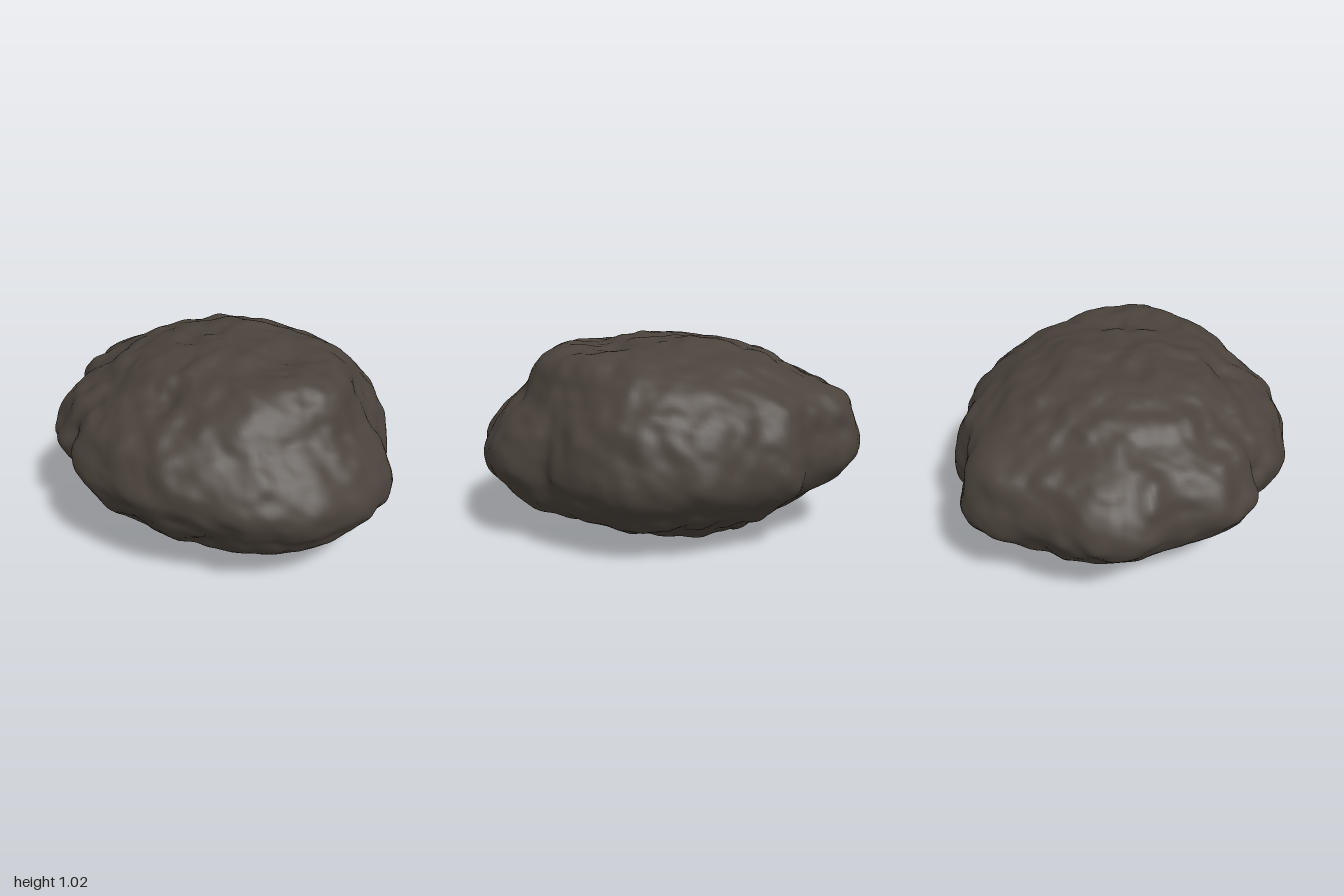
import * as THREE from 'three';
import { mergeVertices } from 'three/addons/utils/BufferGeometryUtils.js';

// Widest outline seen from above, as [x, z]
const OUTLINE = [
  [.99, .05], [.96, .25], [.9, .45], [.77, .6], [.6, .71], [.4, .8], [.1, .88], [-.12, .89],
  [-.3, .84], [-.4, .75], [-.46, .69], [-.55, .7], [-.75, .55], [-.82, .3], [-.92, .2], [-.99, 0],
  [-.95, -.2], [-.88, -.37], [-.83, -.6], [-.7, -.74], [-.5, -.78], [-.4, -.8], [-.27, -.89], [-.1, -.87],
  [.1, -.89], [.2, -.88], [.35, -.82], [.5, -.75], [.6, -.67], [.75, -.5], [.81, -.3], [.9, -.22], [.97, -.1],
];

// Bottom-to-top profiles towards each side, as [share of outline radius, y]
const PROFILES = {
  left: [[0, .01], [.2, .04], [.3, .03], [.5, .08], [.7, .12], [.85, .18], [.95, .3], [1, .4],
    [.96, .54], [.9, .63], [.8, .74], [.75, .86], [.65, .94], [.52, .97], [.37, .96], [.2, 1.01], [0, 1]],
  right: [[0, .01], [.2, .02], [.4, .03], [.6, .12], [.73, .2], [.85, .28], [.97, .42], [1, .5],
    [.97, .6], [.9, .71], [.8, .77], [.7, .82], [.57, .9], [.4, .95], [.22, .98], [0, 1]],
  front: [[0, .01], [.33, .03], [.5, .08], [.67, .17], [.78, .2], [.89, .3], [.96, .4], [1, .5],
    [.95, .6], [.89, .7], [.78, .77], [.67, .83], [.5, .93], [.33, .98], [.11, 1.01], [0, 1]],
  back: [[0, .01], [.22, .01], [.45, .02], [.57, .04], [.67, .1], [.84, .2], [.95, .3], [1, .4],
    [.97, .55], [.92, .7], [.8, .8], [.62, .9], [.45, .96], [.28, 1.01], [.11, 1.01], [0, 1]],
};

// Soft hollows (positive depth) and swellings (negative): x, y, z, radius, depth
const HOLLOWS = [
  [.68, .8, .3, .18, .035], [.05, .88, .52, .09, .035], [.02, .25, .78, .1, .03],
  [.45, .27, .7, .1, .03], [.75, .35, .55, .1, .02], [-.8, .55, -.3, .08, .025],
  [-.75, .6, -.55, .07, .02], [-.55, .9, .05, .1, .012], [-.15, .6, .88, .1, .012],
  [.2, .7, .75, .2, -.02], [-.45, .55, .72, .2, -.015], [-.1, .3, .86, .06, -.02],
  [.4, .3, .78, .06, -.02], [-.7, .65, -.6, .22, -.03], [-.65, .25, -.6, .18, .018],
];

// Smooth lattice noise in -1..1
function hash(x, y, z) {
  let h = Math.imul(x, 374761393) ^ Math.imul(y, 668265263) ^ Math.imul(z, 2147483589);
  h = Math.imul(h ^ (h >>> 13), 1274126177);
  h = Math.imul(h ^ (h >>> 15), 2246822519);
  return ((h ^ (h >>> 16)) >>> 0) / 2147483648 - 1;
}
function noise(x, y, z) {
  const [i, j, k] = [x, y, z].map(Math.floor);
  const [u, v, w] = [x - i, y - j, z - k].map((t) => t * t * (3 - 2 * t));
  const L = THREE.MathUtils.lerp;
  const row = (b, c) => L(hash(i, b, c), hash(i + 1, b, c), u);
  return L(L(row(j, k), row(j + 1, k), v), L(row(j, k + 1), row(j + 1, k + 1), v), w);
}

const smooth = (points, closed) => new THREE.CatmullRomCurve3(
  points.map(([a, b]) => new THREE.Vector3(a, b, 0)), closed, 'centripetal');

// Push a surface point in or out with lumps and hollows
function weather(p) {
  const out = new THREE.Vector3(p.x, (p.y - .48) * 2.5, p.z).normalize();
  let d = 0;
  for (const [freq, amp] of [[7, .013], [12, .012], [22, .003]]) {
    d += amp * noise(p.x * freq + 7.3, p.y * freq + 2.1, p.z * freq + 4.7);
  }
  for (const [x, y, z, r, depth] of HOLLOWS) {
    const q = (p.x - x) ** 2 + (p.y - y) ** 2 + (p.z - z) ** 2;
    d -= depth * Math.exp(-q / (r * r));
  }
  return p.addScaledVector(out, d);
}

function rockGeometry(around = 220, up = 120) {
  const ring = smooth(OUTLINE, true).getSpacedPoints(around).slice(0, around);
  const sides = {};
  for (const k in PROFILES) sides[k] = smooth(PROFILES[k], false).getSpacedPoints(up);

  // Rounded outline radius, so notches in the rim fade out above and below it
  const radius = ring.map((o) => o.length());
  const span = 14;
  const rounded = ring.map((_, i) => {
    let sum = 0;
    for (let k = -span; k <= span; k++) sum += radius[(i + k + around) % around];
    return sum / (2 * span + 1);
  });

  const positions = [], index = [];
  for (let i = 0; i <= around; i++) {
    const n = i % around, o = ring[n];
    const a = Math.atan2(o.y, o.x);
    const sx = sides[o.x > 0 ? 'left' : 'right'], sz = sides[o.y > 0 ? 'front' : 'back'];
    for (let j = 0; j <= up; j++) {
      // Blend the two neighbouring side profiles
      const s = sz[j].clone().lerp(sx[j], Math.cos(a) ** 2);
      const r = s.x * THREE.MathUtils.lerp(rounded[n], radius[n], s.x ** 4);
      const p = weather(new THREE.Vector3(Math.cos(a) * r, s.y, Math.sin(a) * r));
      positions.push(p.x, p.y, p.z);
      if (i < around && j < up) {
        const c = i * (up + 1) + j, d = c + up + 1;
        if (j < up - 1) index.push(c, c + 1, d + 1);
        if (j > 0) index.push(c, d + 1, d);
      }
    }
  }
  let geo = new THREE.BufferGeometry();
  geo.setAttribute('position', new THREE.Float32BufferAttribute(positions, 3));
  geo.setIndex(index);
  geo = mergeVertices(geo, 1e-5);

  // Centre it and stand it on the ground
  geo.computeBoundingBox();
  const mid = geo.boundingBox.getCenter(new THREE.Vector3());
  geo.translate(-mid.x, -geo.boundingBox.min.y, -mid.z);
  geo.computeVertexNormals();
  return geo;
}

export function createModel() {
  const stone = new THREE.MeshStandardMaterial({ color: 0x4a423b });
  stone.name = 'darkStone';
  const rock = new THREE.Mesh(rockGeometry(), stone);
  rock.name = 'rock';
  const group = new THREE.Group();
  group.name = 'boulder';
  group.add(rock);
  return group;
}
